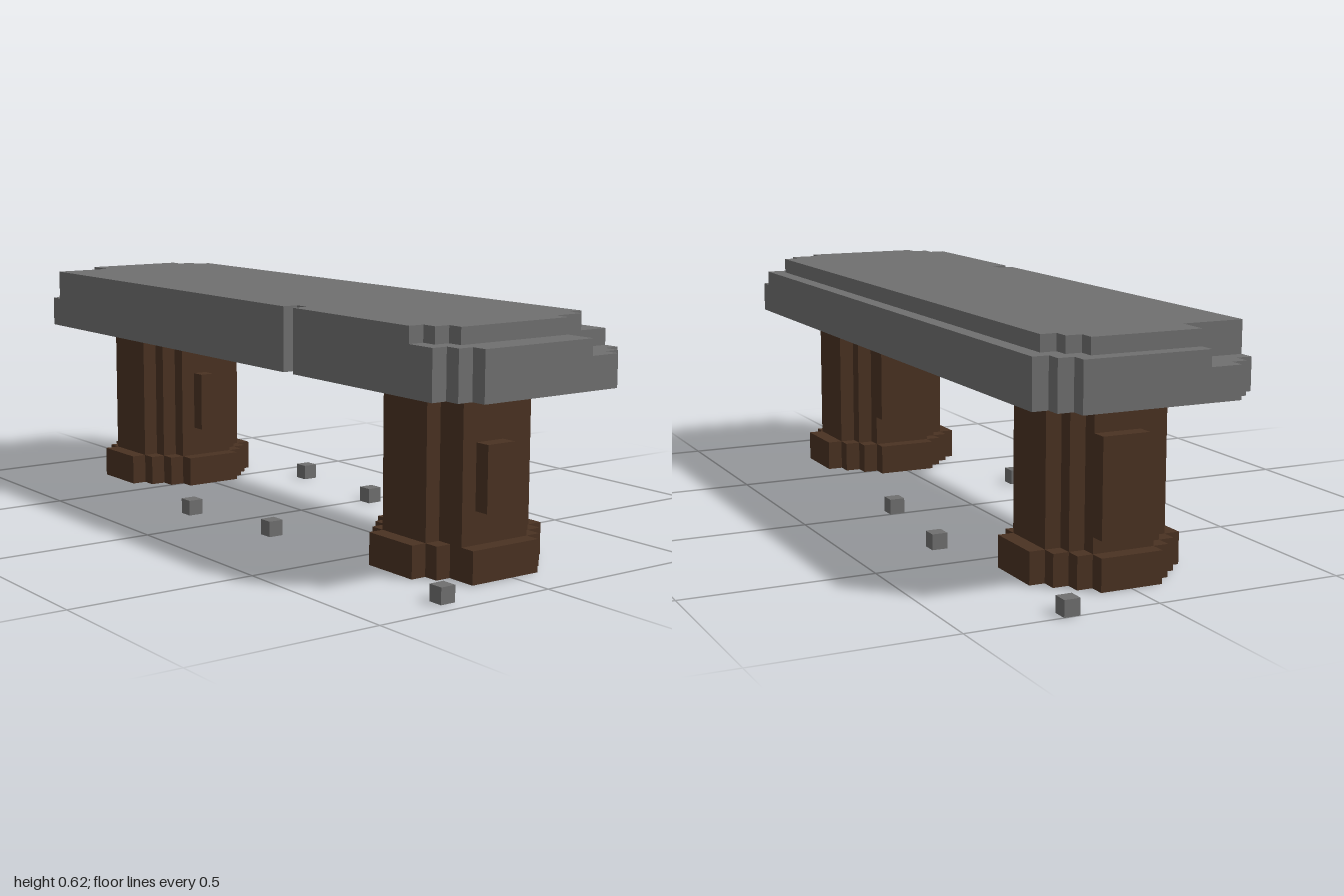
import * as THREE from 'three';

const U = 2 / 48; // one block

const stone = new THREE.MeshStandardMaterial({ color: 0x707070 });
stone.name = 'grey stone';
const wood = new THREE.MeshStandardMaterial({ color: 0x4a3222 });
wood.name = 'dark brown wood';

// Stepped slab from y0 to y1. Each row is [zStart, xMin, xMax] in blocks;
// notch holds extra points along the front edge.
function layer(name, material, rows, zEnd, y0, y1, notch = []) {
  const right = [];
  const left = [];
  rows.forEach(([z, x0, x1], i) => {
    const zNext = i + 1 < rows.length ? rows[i + 1][0] : zEnd;
    right.push([x1, z], [x1, zNext]);
    left.push([x0, z], [x0, zNext]);
  });
  const outline = [...right, ...notch, ...left.reverse()]
    .filter((p, i, a) => i === 0 || p[0] !== a[i - 1][0] || p[1] !== a[i - 1][1])
    .map(([x, z]) => new THREE.Vector2(x * U, -z * U));
  const geometry = new THREE.ExtrudeGeometry(new THREE.Shape(outline), {
    depth: (y1 - y0) * U, bevelEnabled: false,
  });
  geometry.rotateX(-Math.PI / 2);
  geometry.translate(0, y0 * U, 0);
  const mesh = new THREE.Mesh(geometry, material);
  mesh.name = name;
  return mesh;
}

// Box between two block corners
function block(name, material, [x0, y0, z0], [x1, y1, z1]) {
  const mesh = new THREE.Mesh(
    new THREE.BoxGeometry((x1 - x0) * U, (y1 - y0) * U, (z1 - z0) * U), material);
  mesh.position.set((x0 + x1) * U / 2, (y0 + y1) * U / 2, (z0 + z1) * U / 2);
  mesh.name = name;
  return mesh;
}

// Rounded log leg with a wider foot; extra widens one corner on the +x side
function createLeg(name, centre, extra, knots) {
  const leg = new THREE.Group();
  leg.name = name;
  leg.add(layer('legFoot', wood, [
    [-5, -2, 2], [-4, -3, 3], [-3, -4, 4], [-2, -5, 5],
    [2, -4, 4 + extra], [3, -3, 3], [4, -2, 2],
  ], 5, 0, 2));
  leg.add(layer('legShaft', wood, [
    [-4, -2, 2], [-3, -3, 3], [-2, -4, 4], [2, -3, 3 + extra], [3, -2, 2],
  ], 4, 2, 11));
  for (const [from, to] of knots) leg.add(block('legKnot', wood, from, to));
  leg.position.x = centre * U;
  return leg;
}

export function createModel() {
  const model = new THREE.Group();
  model.name = 'bench';

  // Seat slab: full lower layer, chipped middle layer, inset top layer
  const seat = new THREE.Group();
  seat.name = 'seat';
  const notch = [[9, 7], [9, 6], [8, 6], [8, 7]];
  seat.add(layer('seatLower', stone, [
    [-7, -22, 22], [-6, -23, 23], [-5, -24, 24], [5, -23, 23], [6, -22, 22],
  ], 7, 11, 13, notch));
  seat.add(layer('seatMiddle', stone, [
    [-7, -22, 21], [-6, -23, 21], [-5, -24, 21], [-3, -24, 24],
    [3, -21, 24], [5, -21, 23], [6, -21, 22],
  ], 7, 13, 14, notch));
  seat.add(layer('seatTop', stone, [
    [-6, -21, 20], [-5, -22, 21], [-4, -23, 21], [-3, -23, 22],
    [3, -21, 22], [5, -21, 21], [6, -21, 20],
  ], 7, 14, 15, notch));
  model.add(seat);

  // Legs with bark knots on their sides
  model.add(createLeg('rightLeg', -16, 0, [
    [[-5, 3, -2], [-4, 9, 1]],
    [[4, 4, 0], [5, 8, 1]],
  ]));
  model.add(createLeg('leftLeg', 16, 1, [
    [[-5, 4, -2], [-4, 9, 0]],
    [[4, 4, 0], [5, 8, 2]],
  ]));

  // Loose pebbles on the ground, given by their low corner
  const pebbles = new THREE.Group();
  pebbles.name = 'pebbles';
  for (const [x, z] of [[-24, -6], [-9, -7], [0, -6], [-4, 6], [4, 5], [22, 6]]) {
    pebbles.add(block('pebble', stone, [x, 0, z], [x + 1, 1, z + 1]));
  }
  model.add(pebbles);
  return model;
}
